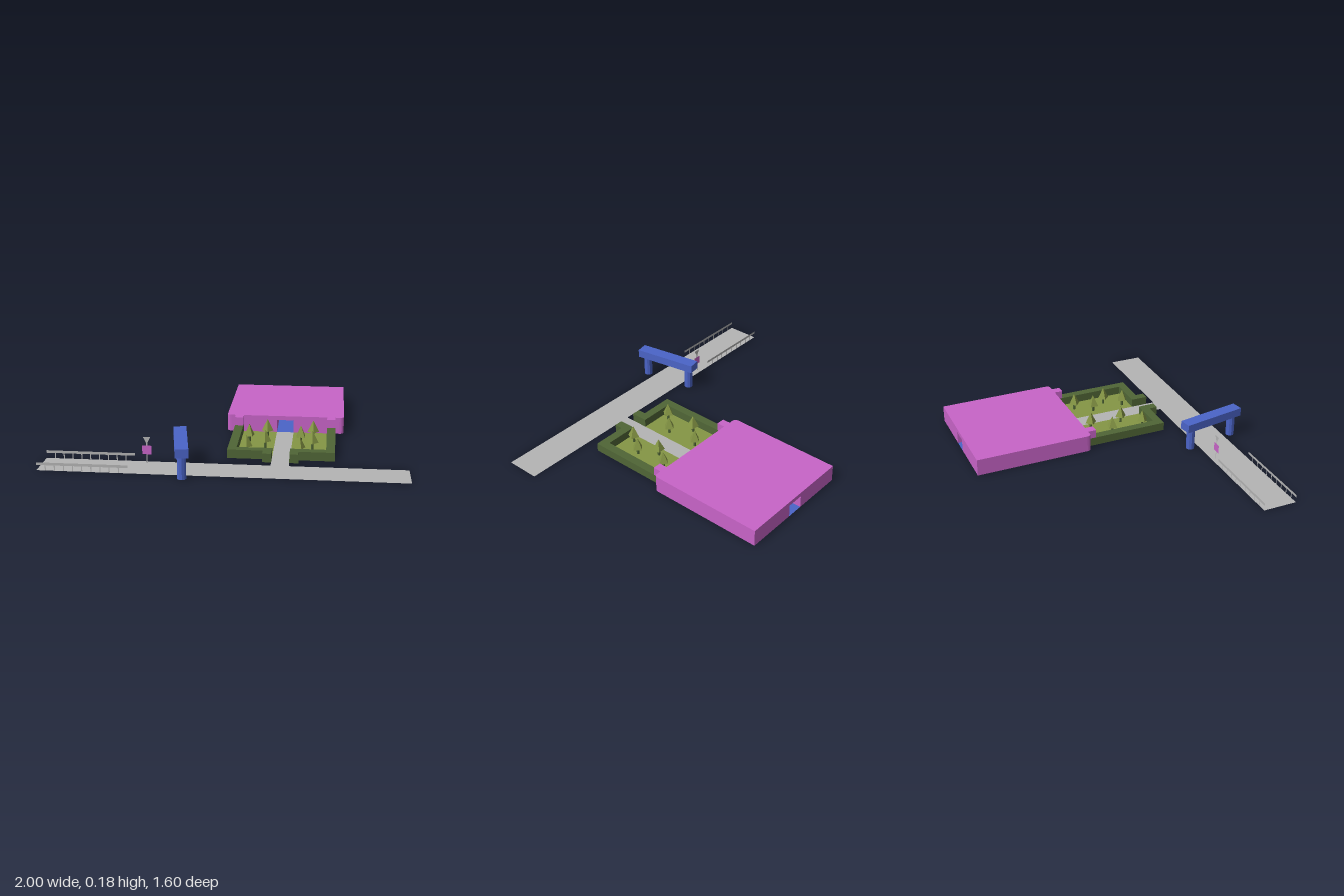
import * as THREE from 'three';

const paint = (name, color, side = THREE.DoubleSide) => {
  const m = new THREE.MeshStandardMaterial({ color, side });
  m.name = name;
  return m;
};

export function createModel() {
  const model = new THREE.Group();
  model.name = 'gardenHouseAndRoad';
  const magenta = paint('magenta', 0xc864c8);
  const blue = paint('blue', 0x4b64c8);
  const grey = paint('grey', 0xb4b4b4);
  const hedgeGreen = paint('hedgeGreen', 0x506636);
  const olive = paint('olive', 0x859645);
  olive.flatShading = blue.flatShading = true;

  const add = (name, geometry, material, parent = model) => {
    const mesh = new THREE.Mesh(geometry, material);
    mesh.name = name;
    parent.add(mesh);
    return mesh;
  };
  // Box given by its limits
  const block = (name, mat, x0, x1, y0, y1, z0, z1) =>
    add(name, new THREE.BoxGeometry(x1 - x0, y1 - y0, z1 - z0), mat)
      .position.set((x0 + x1) / 2, (y0 + y1) / 2, (z0 + z1) / 2);
  // Flat horizontal sheet on the ground
  const ground = (name, mat, x0, x1, z0, z1) =>
    add(name, new THREE.PlaneGeometry(x1 - x0, z1 - z0).rotateX(-Math.PI / 2), mat)
      .position.set((x0 + x1) / 2, 0, (z0 + z1) / 2);
  // Flat upright sheet facing the front
  const upright = (name, mat, x0, x1, y0, y1, z) =>
    add(name, new THREE.PlaneGeometry(x1 - x0, y1 - y0), mat)
      .position.set((x0 + x1) / 2, (y0 + y1) / 2, z);
  // Plan outline (x, z) raised to a height
  const raise = (name, mat, shape, height) =>
    add(name, new THREE.ExtrudeGeometry(shape, { depth: height, bevelEnabled: false, curveSegments: 4 })
      .rotateX(Math.PI / 2).translate(0, height, 0), mat);

  // Road, garden path and passage floor
  ground('road', grey, -1, 1, 0.5, 0.7);
  ground('path', grey, 0.25, 0.35, -0.1, 0.5);
  ground('passageFloor', blue, 0.25, 0.35, -0.8, -0.1);

  // House and garden halves, mirrored about the path
  const mid = 0.3;
  for (const s of [-1, 1]) {
    const X = (u) => mid + s * u;
    const wing = new THREE.Shape();
    wing.moveTo(X(0.05), -0.8);
    wing.lineTo(X(0.35), -0.8);
    wing.lineTo(X(0.35), -0.125);
    wing.quadraticCurveTo(X(0.35), -0.1, X(0.325), -0.1);
    wing.lineTo(X(0.05), -0.1);
    wing.closePath();
    raise('houseWing', magenta, wing, 0.1);

    const hedge = [[0.3, -0.1], [0.3, 0.4], [0.1, 0.4], [0.1, 0.45], [0.05, 0.45], [0.05, 0.35], [0.25, 0.35], [0.25, -0.1]];
    raise('hedge', hedgeGreen, new THREE.Shape(hedge.map(([u, z]) => new THREE.Vector2(X(u), z))), 0.05);

    const [a, b] = [X(0.25), X(0.3)].sort((p, q) => p - q);
    block('housePillar', magenta, a, b, 0.05, 0.1, -0.1, -0.05);
    const [c, d] = [X(0.05), X(0.25)].sort((p, q) => p - q);
    ground('lawn', olive, c, d, -0.1, 0.35);
  }
  block('passageLintel', magenta, 0.25, 0.35, 0.075, 0.1, -0.8, -0.1);

  // Trees: x, z, turn in degrees
  const trees = [
    [0.2, 0, 0], [0.1, 0.1, 35], [0.2, 0.2, 0], [0.1, 0.3, 5],
    [0.47, 0, 5], [0.4, 0.1, 45], [0.47, 0.2, 0], [0.4, 0.3, 20],
  ];
  for (const [x, z, turn] of trees) {
    const tree = new THREE.Group();
    tree.name = 'tree';
    tree.position.set(x, 0, z);
    tree.rotation.y = THREE.MathUtils.degToRad(turn);
    add('crown', new THREE.ConeGeometry(0.035, 0.07, 4), olive, tree).position.y = 0.075;
    add('trunk', new THREE.CylinderGeometry(0.008, 0.008, 0.04, 6), hedgeGreen, tree).position.y = 0.02;
    model.add(tree);
  }

  // Gate spanning the road
  const gate = new THREE.Group();
  gate.name = 'gate';
  gate.position.set(-0.2275, 0, 0.5975);
  gate.rotation.y = THREE.MathUtils.degToRad(10);
  add('gateBeam', new THREE.BoxGeometry(0.072, 0.05, 0.395), blue, gate).position.y = 0.153;
  for (const z of [-0.152, 0.152]) {
    add('gateLeg', new THREE.CylinderGeometry(0.025, 0.025, 0.128, 10), blue, gate).position.set(0, 0.064, z);
  }
  model.add(gate);

  // Railings along both road edges
  for (const z of [0.5, 0.7]) {
    upright('rail', grey, -1, -0.5, 0.03, 0.045, z);
    for (let i = 1; i < 10; i++) {
      const x = -1 + i * 0.05;
      upright('railPost', grey, x - 0.003, x + 0.003, 0, 0.03, z);
    }
  }

  // Road sign
  const sx = -0.427, sz = 0.525;
  upright('signPole', grey, sx - 0.003, sx + 0.003, 0, 0.05, sz);
  upright('signBoard', magenta, sx - 0.026, sx + 0.026, 0.05, 0.1, sz);
  upright('signNeck', grey, sx - 0.003, sx + 0.003, 0.1, 0.115, sz);
  const triangle = new THREE.Shape([[0, 0.108], [0.021, 0.15], [-0.021, 0.15]].map(([x, y]) => new THREE.Vector2(x, y)));
  add('signTriangle', new THREE.ShapeGeometry(triangle), grey).position.set(sx, 0, sz);

  return model;
}
